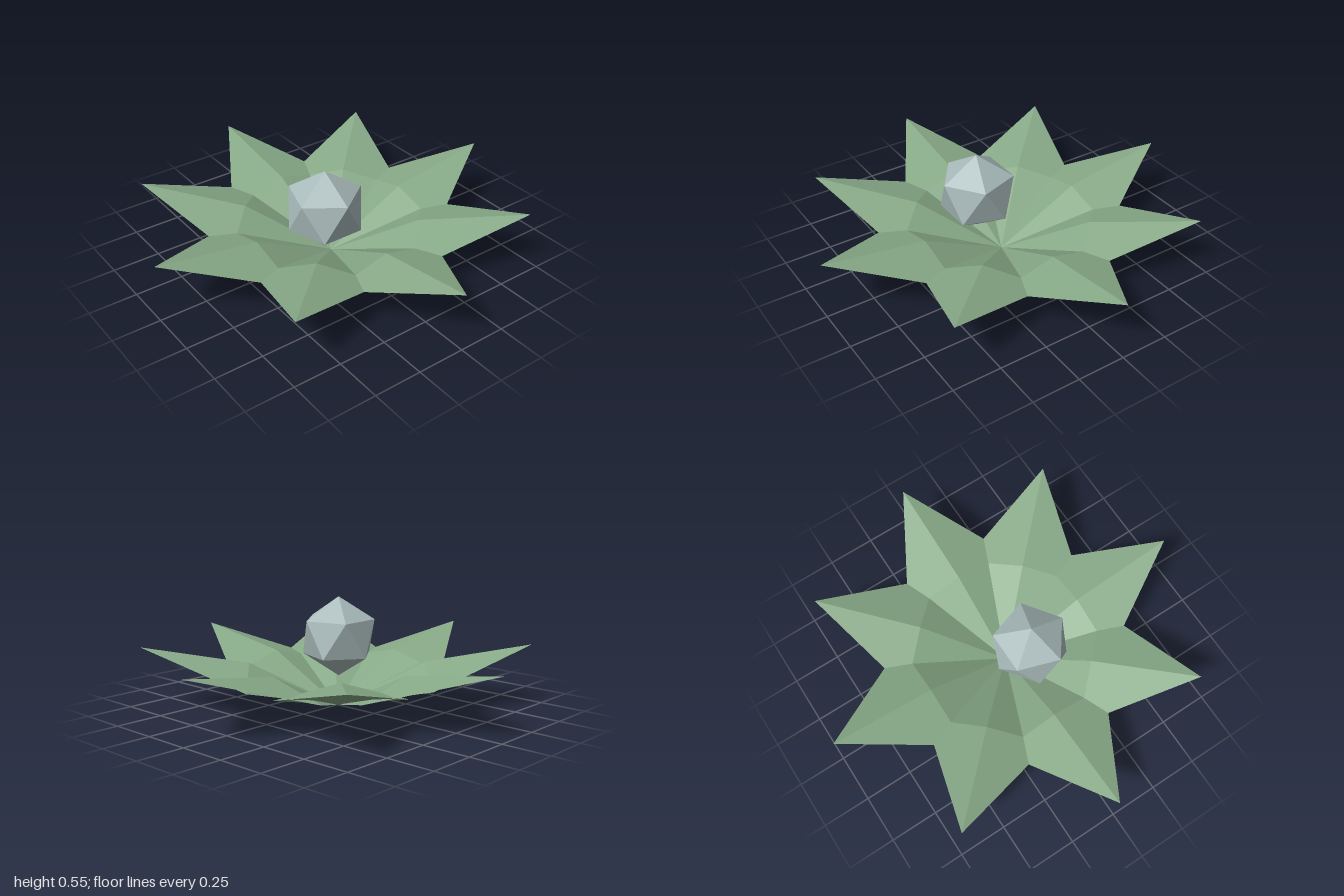
import * as THREE from 'three';

const petalGreen = new THREE.MeshStandardMaterial({ name: 'petalGreen', color: 0x88aa88, flatShading: true });
const paleOrb = new THREE.MeshStandardMaterial({ name: 'paleOrb', color: 0xaabbbb, flatShading: true });

// Kite-shaped petal pointing to +z, with a raised middle and a flat underside
function petalGeometry() {
  const corners = [
    0, 0, 0,          // base
    -0.32, 0.142, 0.45, // right corner
    0.32, 0.142, 0.45,  // left corner
    0, 0.31, 1,       // tip
    0, 0.225, 0.45,   // raised middle
  ];
  const faces = [0, 1, 4, 0, 4, 2, 1, 3, 4, 4, 3, 2, 0, 2, 3, 0, 3, 1];
  const indexed = new THREE.BufferGeometry();
  indexed.setAttribute('position', new THREE.Float32BufferAttribute(corners, 3));
  indexed.setIndex(faces);
  const geometry = indexed.toNonIndexed();
  geometry.computeVertexNormals();
  return geometry;
}

export function createModel() {
  const model = new THREE.Group();
  model.name = 'lotus';

  // Ring of eight overlapping petals
  const petals = new THREE.Group();
  petals.name = 'petals';
  const geometry = petalGeometry();
  for (let i = 0; i < 8; i++) {
    const petal = new THREE.Mesh(geometry, petalGreen);
    petal.name = 'petal';
    petal.rotation.y = (i * Math.PI) / 4;
    petals.add(petal);
  }
  model.add(petals);

  // Faceted orb standing on one vertex, a little off centre
  const orb = new THREE.Mesh(new THREE.IcosahedronGeometry(0.21, 0), paleOrb);
  orb.name = 'orb';
  orb.geometry.rotateZ(-Math.atan(2 / (1 + Math.sqrt(5))));
  orb.position.set(0.085, 0.335, 0.1);
  model.add(orb);

  return model;
}
